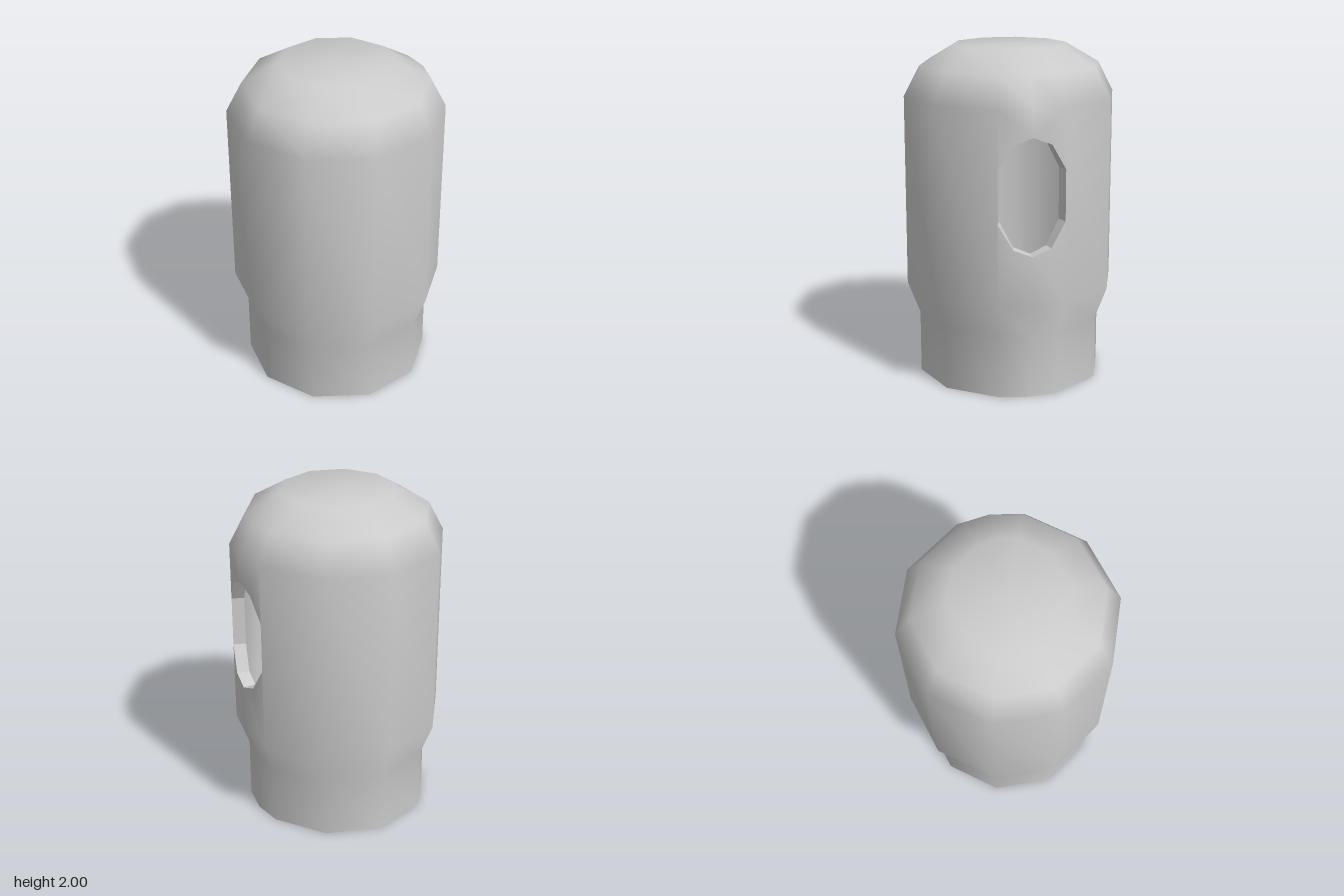
import * as THREE from 'three';
import { mergeVertices } from 'three/addons/utils/BufferGeometryUtils.js';

const material = new THREE.MeshStandardMaterial({ color: 0xcccccc });
const flatMaterial = new THREE.MeshStandardMaterial({ color: 0xcccccc, flatShading: true });

// Ten-sided columns, plus one extra column through the window at angle 0
const ANGLES = [0, 18, 54, 90, 126, 162, 198, 234, 270, 306, 342];

// Profiles as [radius, height]; ring 2 to 3 is the straight body
const OUTER = [[0.558, 0], [0.558, 0.375], [0.632, 0.57], [0.632, 1.705], [0.54, 1.88], [0.336, 2], [0, 2]];
const INNER = [[0.483, 0], [0.483, 0.39], [0.557, 0.585], [0.557, 1.685], [0.485, 1.815], [0.31, 1.925], [0, 1.925]];

// Half outline of the window, as [angle, height above or below its middle]
const WINDOW_Y = 1.21;
const WINDOW = [[0, 0.34], [10, 0.297], [18, 0.15]];

function at(angle, radius, y) {
  const a = THREE.MathUtils.degToRad(angle);
  return [radius * Math.cos(a), y, radius * Math.sin(a)];
}

// Adds a polygon as a triangle fan
function addFace(out, points, flip = false) {
  const p = flip ? [...points].reverse() : points;
  // keep the fan centred on the first given corner
  if (flip) p.unshift(p.pop());
  for (let i = 1; i < p.length - 1; i++) out.push(...p[0], ...p[i], ...p[i + 1]);
}

function toGeometry(positions) {
  const geometry = new THREE.BufferGeometry();
  geometry.setAttribute('position', new THREE.Float32BufferAttribute(positions, 3));
  return geometry;
}

// One smooth skin of the housing with the window left open
function skin(profile, inward) {
  const out = [];
  for (let r = 0; r < profile.length - 1; r++) {
    const [r0, y0] = profile[r];
    const [r1, y1] = profile[r + 1];
    ANGLES.forEach((a0, i) => {
      const a1 = ANGLES[(i + 1) % ANGLES.length];
      if (r === 2 && (i === 0 || i === ANGLES.length - 1)) return;
      addFace(out, [at(a0, r0, y0), at(a0, r1, y1), at(a1, r1, y1), at(a1, r0, y0)], inward);
    });
  }
  // Four corner pieces around the window
  const radius = profile[2][0];
  for (const side of [1, -1]) {
    for (const up of [1, -1]) {
      const edge = profile[up > 0 ? 3 : 2][1];
      const points = [at(18 * side, radius, edge), at(0, radius, edge)];
      for (const [a, h] of WINDOW) points.push(at(a * side, radius, WINDOW_Y + h * up));
      addFace(out, points, (side * up > 0) !== inward);
    }
  }
  const geometry = mergeVertices(toGeometry(out), 1e-4);
  geometry.computeVertexNormals();
  // Around the window the normals stay purely radial
  const { position, normal } = geometry.attributes;
  const n = new THREE.Vector3();
  for (let i = 0; i < position.count; i++) {
    const y = position.getY(i);
    if (y < 0.8 || y > 1.6) continue;
    n.set(position.getX(i), 0, position.getZ(i)).normalize().multiplyScalar(inward ? -1 : 1);
    normal.setXYZ(i, n.x, n.y, n.z);
  }
  return geometry;
}

// Flat strip joining the outer and inner skin along a closed loop of [angle, y]
function wallEdge(loop, outerRadius, innerRadius, flip) {
  const out = [];
  loop.forEach(([a0, y0], i) => {
    const [a1, y1] = loop[(i + 1) % loop.length];
    addFace(out, [at(a0, outerRadius, y0), at(a1, outerRadius, y1), at(a1, innerRadius, y1), at(a0, innerRadius, y0)], flip);
  });
  const geometry = toGeometry(out);
  geometry.computeVertexNormals();
  return geometry;
}

export function createModel() {
  const model = new THREE.Group();
  model.name = 'domedHousing';
  const add = (name, geometry, mat) => {
    const mesh = new THREE.Mesh(geometry, mat);
    mesh.name = name;
    mesh.position.x = -0.016;
    model.add(mesh);
  };

  add('outerShell', skin(OUTER, false), material);
  add('innerShell', skin(INNER, true), material);

  // Rim around the open bottom
  add('bottomRim', wallEdge(ANGLES.map((a) => [a, 0]), OUTER[0][0], INNER[0][0], false), flatMaterial);

  // Wall thickness inside the oval window, as a full loop from its lowest point
  const [tip, mid, flank] = WINDOW;
  const loop = [
    [tip, 1, -1], [mid, 1, -1], [flank, 1, -1], [flank, 1, 1], [mid, 1, 1],
    [tip, 1, 1], [mid, -1, 1], [flank, -1, 1], [flank, -1, -1], [mid, -1, -1],
  ].map(([[a, h], side, up]) => [a * side, WINDOW_Y + h * up]);
  add('windowEdge', wallEdge(loop, OUTER[2][0], INNER[2][0], true), flatMaterial);

  return model;
}
